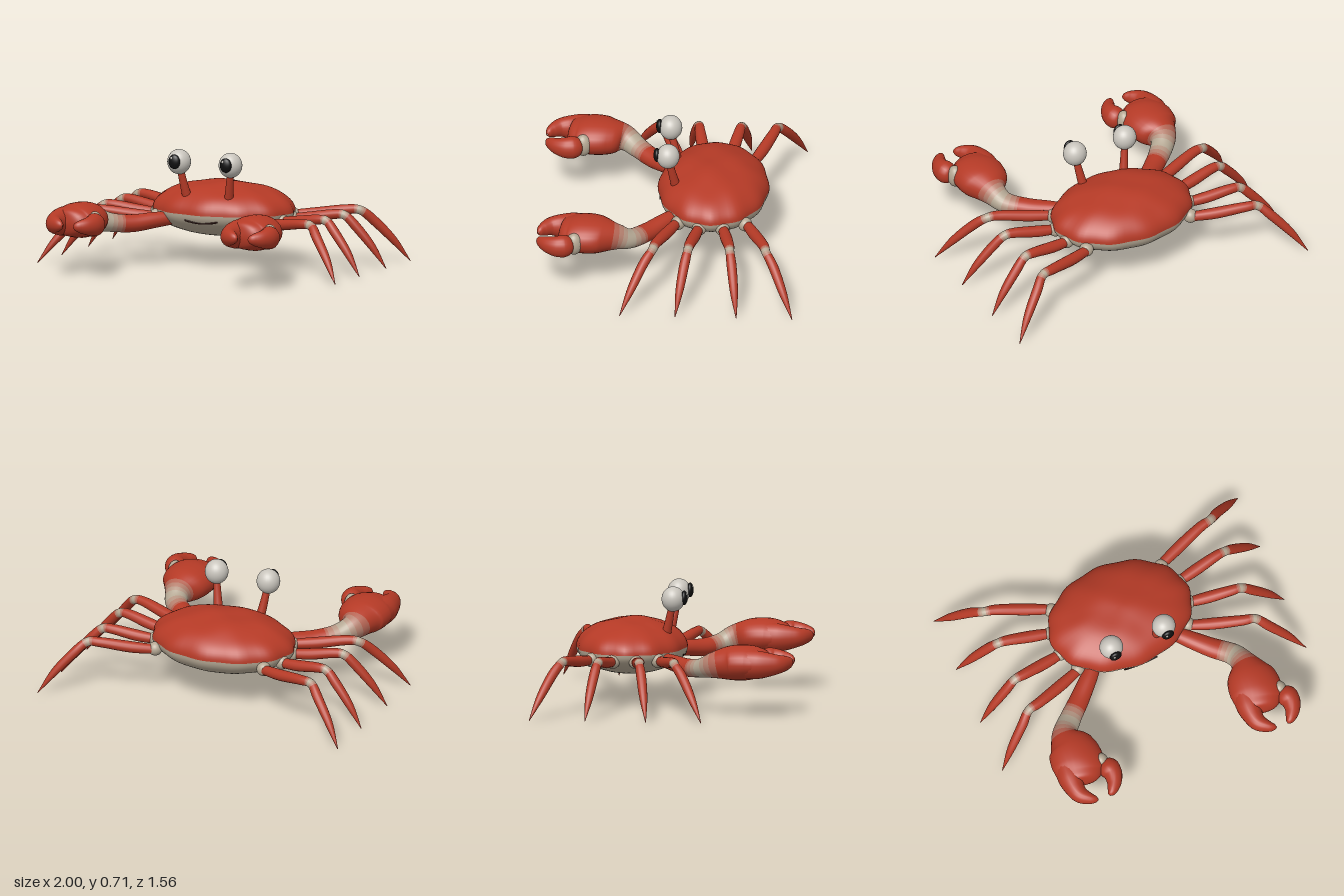
import * as THREE from 'three';
import { mergeVertices } from 'three/addons/utils/BufferGeometryUtils.js';

const RED = new THREE.Color(0xb53a26);
const TAN = new THREE.Color(0xb5a894);
const SHADES = [0, 0.25, 0.5, 0.75, 1].map(
  (t) => new THREE.MeshStandardMaterial({ color: RED.clone().lerp(TAN, t) }));
const [red, , , , tan] = SHADES;
const white = new THREE.MeshStandardMaterial({ color: 0xc9c5bd });
const black = new THREE.MeshStandardMaterial({ color: 0x101010 });

function add(parent, name, geometry, material) {
  const mesh = new THREE.Mesh(geometry, material);
  mesh.name = name;
  parent.add(mesh);
  return mesh;
}

function ball(parent, name, material, pos, size) {
  const mesh = add(parent, name, new THREE.SphereGeometry(1, 28, 20), material);
  mesh.position.set(...pos);
  mesh.scale.set(...size);
  return mesh;
}

// Smooth limb through stations [x, y, z, half width, half height];
// tint(u) gives the blend from red (0) to tan (1) at station u
function limb(parent, name, stations, tint = () => 0, per = 8, sides = 20) {
  const curve = (f) => new THREE.CatmullRomCurve3(stations.map(f), false, 'catmullrom', 0.5);
  const path = curve((s) => new THREE.Vector3(s[0], s[1], s[2]));
  const sizes = curve((s) => new THREE.Vector3(s[3], s[4], 0));
  const steps = (stations.length - 1) * per;
  const up = new THREE.Vector3(0, 1, 0);
  const positions = [], index = [], bands = [];
  for (let i = 0; i <= steps; i++) {
    const t = i / steps, c = path.getPoint(t), r = sizes.getPoint(t), dir = path.getTangent(t);
    const side = dir.clone().cross(up).normalize();
    const top = side.clone().cross(dir);
    for (let j = 0; j < sides; j++) {
      const a = (j / sides) * Math.PI * 2;
      const p = c.clone()
        .addScaledVector(side, Math.cos(a) * Math.max(r.x, 0.001))
        .addScaledVector(top, Math.sin(a) * Math.max(r.y, 0.001));
      positions.push(p.x, p.y, p.z);
    }
    if (i === steps) break;
    const start = index.length;
    for (let j = 0; j < sides; j++) {
      const k = (j + 1) % sides, m = i * sides, n = m + sides;
      index.push(m + j, n + j, n + k, m + j, n + k, m + k);
    }
    const mix = THREE.MathUtils.clamp(tint((i + 0.5) / per), 0, 1);
    const shade = Math.round(mix * (SHADES.length - 1));
    const last = bands[bands.length - 1];
    if (last && last.shade === shade) last.end = index.length;
    else bands.push({ shade, start, end: index.length });
  }
  const whole = new THREE.BufferGeometry();
  whole.setAttribute('position', new THREE.Float32BufferAttribute(positions, 3));
  whole.setIndex(index);
  whole.computeVertexNormals();
  // one mesh per colour band, all sharing the smooth normals
  const group = new THREE.Group();
  group.name = name;
  for (const b of bands) {
    const g = whole.clone();
    g.setIndex(index.slice(b.start, b.end));
    add(group, name + 'Band', g.toNonIndexed(), SHADES[b.shade]);
  }
  parent.add(group);
}

// Half of the flattened body, with a gently scalloped rim and bumpy top
function bodyHalf(upper) {
  let g = new THREE.SphereGeometry(1, 72, 20, 0, Math.PI * 2, upper ? 0 : Math.PI / 2, Math.PI / 2);
  g.deleteAttribute('uv');
  g.deleteAttribute('normal');
  g = mergeVertices(g, 1e-5);
  const p = g.attributes.position;
  for (let i = 0; i < p.count; i++) {
    const x = p.getX(i), y = p.getY(i), z = p.getZ(i);
    const rim = 1 + 0.014 * Math.cos(12 * Math.atan2(x, z)) * (x * x + z * z);
    const bump = upper ? 0.006 * Math.sin(x * 8) * Math.sin(z * 7 + 1) * y : 0;
    p.setXYZ(i, x * 0.45 * rim, 0.328 + y * (upper ? 0.172 : 0.158) + bump, -0.262 + z * 0.333 * rim);
  }
  g.computeVertexNormals();
  return g;
}

function addEye(parent, s) {
  const eye = new THREE.Group();
  eye.name = s > 0 ? 'leftEye' : 'rightEye';
  parent.add(eye);
  limb(eye, 'eyeStalk', [
    [s * 0.138, 0.41, -0.042, 0.029, 0.029],
    [s * 0.155, 0.51, -0.02, 0.024, 0.024],
    [s * 0.17, 0.61, 0, 0.02, 0.02]]);
  ball(eye, 'eyeball', white, [s * 0.172, 0.64, 0.005], [0.072, 0.076, 0.07]);
  ball(eye, 'pupil', black, [s * 0.172, 0.648, 0.072], [0.038, 0.044, 0.021]);
  ball(eye, 'eyeGlint', white, [s * 0.172 - 0.012, 0.67, 0.086], [0.008, 0.009, 0.006]);
}

function addLeg(parent, name, s, hipX, hipZ, kneeZ, tipZ) {
  const leg = new THREE.Group();
  leg.name = name;
  parent.add(leg);
  const mid = (a, b, t) => a + (b - a) * t;
  ball(leg, 'hipJoint', tan, [s * hipX, 0.288, hipZ], [0.043, 0.043, 0.043]);
  limb(leg, 'legSegments', [
    [s * (hipX - 0.02), 0.285, hipZ, 0.028, 0.028],
    [s * mid(hipX, 0.74, 0.35), 0.298, mid(hipZ, kneeZ, 0.42), 0.036, 0.034],
    [s * mid(hipX, 0.74, 0.8), 0.322, mid(hipZ, kneeZ, 0.85), 0.032, 0.03],
    [s * 0.745, 0.318, kneeZ, 0.027, 0.027],
    [s * 0.81, 0.255, mid(kneeZ, tipZ, 0.28), 0.03, 0.029],
    [s * 0.91, 0.135, mid(kneeZ, tipZ, 0.65), 0.024, 0.023],
    [s * 0.997, 0.003, tipZ, 0.002, 0.002],
  ], (u) => 1.1 - Math.abs(u - 2.9) * 2.4, 8, 16);
}

// Both claws open the same way, so the second is shifted rather than mirrored
function addClaw(parent, s) {
  const claw = new THREE.Group();
  claw.name = s > 0 ? 'leftClaw' : 'rightClaw';
  parent.add(claw);
  const dx = s > 0 ? 0 : -1.17;
  limb(claw, 'armAndPalm', [
    [s * 0.24, 0.285, -0.07, 0.04, 0.04],
    [s * 0.33, 0.275, 0.02, 0.052, 0.048],
    [s * 0.435, 0.262, 0.12, 0.06, 0.054],
    [s * 0.535, 0.275, 0.215, 0.066, 0.058],
    [dx + 0.567, 0.303, 0.3, 0.08, 0.08],
    [dx + 0.567, 0.318, 0.4, 0.145, 0.103],
    [dx + 0.565, 0.322, 0.5, 0.16, 0.106],
    [dx + 0.55, 0.321, 0.57, 0.143, 0.092],
    [dx + 0.54, 0.32, 0.62, 0.1, 0.07],
    [dx + 0.535, 0.32, 0.64, 0.003, 0.003],
  ], (u) => 1.15 - Math.abs(u - 3.3) * 1.05, 8, 28);
  limb(claw, 'fixedFinger', [
    [dx + 0.5, 0.32, 0.5, 0.085, 0.09],
    [dx + 0.487, 0.32, 0.58, 0.078, 0.085],
    [dx + 0.485, 0.322, 0.65, 0.06, 0.07],
    [dx + 0.5, 0.324, 0.7, 0.05, 0.056],
    [dx + 0.54, 0.326, 0.742, 0.034, 0.042],
    [dx + 0.572, 0.327, 0.762, 0.019, 0.025],
    [dx + 0.587, 0.327, 0.768, 0.002, 0.002]]);
  ball(claw, 'fingerJoint', tan, [dx + 0.697, 0.322, 0.548], [0.044, 0.07, 0.05]);
  limb(claw, 'movingFinger', [
    [dx + 0.712, 0.322, 0.55, 0.002, 0.002],
    [dx + 0.716, 0.322, 0.565, 0.044, 0.048],
    [dx + 0.724, 0.322, 0.605, 0.064, 0.069],
    [dx + 0.731, 0.322, 0.65, 0.057, 0.066],
    [dx + 0.717, 0.323, 0.702, 0.045, 0.053],
    [dx + 0.689, 0.325, 0.743, 0.032, 0.038],
    [dx + 0.667, 0.326, 0.764, 0.018, 0.022],
    [dx + 0.658, 0.326, 0.773, 0.002, 0.002]]);
}

export function createModel() {
  const crab = new THREE.Group();
  crab.name = 'crab';
  add(crab, 'shell', bodyHalf(true), red);
  add(crab, 'underside', bodyHalf(false), tan);

  // smiling mouth wrapped over the front of the underside
  const smile = [];
  for (let i = -4; i <= 4; i++) {
    const x = i * 0.0275, y = 0.28 + 0.014 * (i / 4) ** 2;
    const z = -0.262 + 0.335 * Math.sqrt(1 - (x / 0.45) ** 2 - ((y - 0.328) / 0.158) ** 2);
    smile.push(new THREE.Vector3(x, y, z));
  }
  add(crab, 'mouth', new THREE.TubeGeometry(new THREE.CatmullRomCurve3(smile), 32, 0.005, 8),
    new THREE.MeshStandardMaterial({ color: 0x3a1712 }));

  // hip x, hip z, knee z, tip z from front to back
  const legs = [
    [0.36, -0.065, 0.075, 0.26],
    [0.42, -0.195, -0.14, -0.075],
    [0.42, -0.335, -0.395, -0.445],
    [0.36, -0.47, -0.615, -0.782]];
  for (const s of [1, -1]) {
    addEye(crab, s);
    addClaw(crab, s);
    legs.forEach((l, i) => addLeg(crab, (s > 0 ? 'leftLeg' : 'rightLeg') + (i + 1), s, ...l));
  }
  return crab;
}
